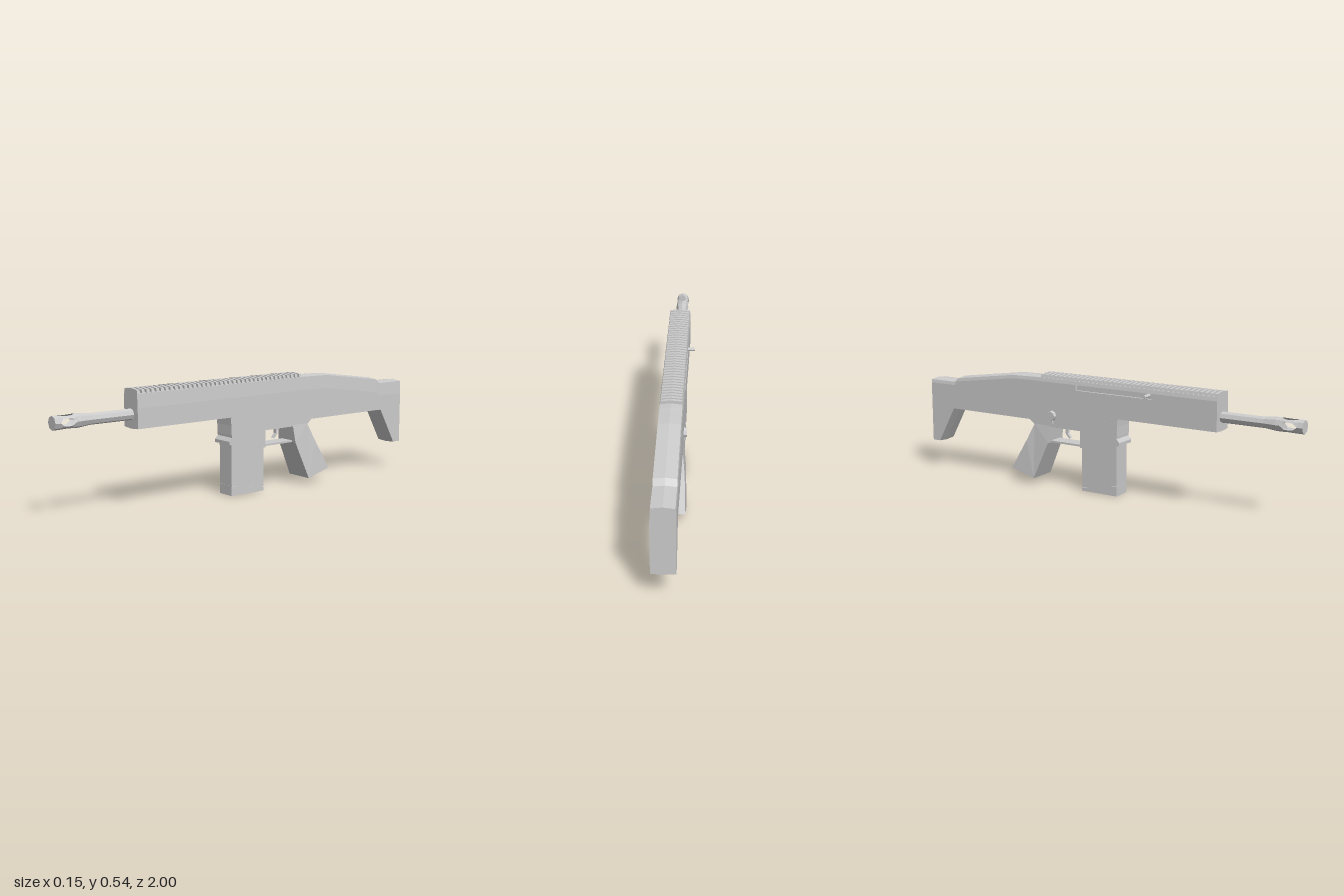
import * as THREE from 'three';

const mat = new THREE.MeshStandardMaterial({ color: 0xcccccc, flatShading: true, side: THREE.DoubleSide });

function add(parent, name, geo) {
  const m = new THREE.Mesh(geo, mat);
  m.name = name;
  parent.add(m);
  return m;
}

// Skin closed counter-clockwise sections, listed from front (+z) to back
function loft(rings) {
  const pos = [], n = rings[0].length;
  const tri = (...p) => p.forEach(v => pos.push(...v));
  for (let i = 0; i < rings.length - 1; i++)
    for (let j = 0; j < n; j++) {
      const k = (j + 1) % n;
      const a = rings[i][j], b = rings[i][k], c = rings[i + 1][k], d = rings[i + 1][j];
      tri(a, d, c);
      tri(a, c, b);
    }
  const front = rings[0], back = rings[rings.length - 1];
  for (let j = 1; j < n - 1; j++) {
    tri(front[0], front[j], front[j + 1]);
    tri(back[0], back[j + 1], back[j]);
  }
  const g = new THREE.BufferGeometry();
  g.setAttribute('position', new THREE.Float32BufferAttribute(pos, 3));
  g.computeVertexNormals();
  return g;
}

// Side profile in (z, y) given a half width that may vary with height
function prism(profile, halfWidth) {
  const shape = new THREE.Shape(profile.map(p => new THREE.Vector2(...p)));
  const g = new THREE.ExtrudeGeometry(shape, { depth: 2, bevelEnabled: false });
  g.translate(0, 0, -1).rotateY(-Math.PI / 2);
  const p = g.attributes.position;
  for (let i = 0; i < p.count; i++) {
    const w = typeof halfWidth === 'function' ? halfWidth(p.getY(i)) : halfWidth;
    p.setX(i, p.getX(i) * w);
  }
  g.computeVertexNormals();
  return g;
}

// Body section with a shallow crown and an optional slot cut in the -x side
function bodySection([z, top, bottom, slot = 0]) {
  const w = 0.0525, hi = Math.min(0.505, top - 0.022), lo = hi - 0.026;
  return [
    [0, bottom - 0.002], [w, bottom + 0.002], [w, top - 0.07], [0.049, top - 0.006],
    [0, top], [-0.049, top - 0.006], [-w, hi], [-w + slot, hi],
    [-w + slot, lo], [-w, lo], [-w, bottom + 0.002],
  ].map(([x, y]) => [x, y, z]);
}

// Muzzle: four struts that narrow midway, leaving lens-shaped windows
function muzzleGeometry(r) {
  const rows = [[1, 45], [0.975, 45], [0.955, 17], [0.935, 12], [0.915, 17], [0.895, 45], [0.875, 45]];
  const pos = [], index = [];
  for (let s = 0; s < 4; s++) {
    const base = pos.length / 3;
    for (const [z, h] of rows)
      for (const k of [-1, 0, 1]) {
        const a = (45 + 90 * s + k * h) * Math.PI / 180;
        pos.push(r * Math.cos(a), r * Math.sin(a), z);
      }
    for (let i = 0; i < rows.length - 1; i++)
      for (let k = 0; k < 2; k++) {
        const a = base + i * 3 + k;
        index.push(a, a + 3, a + 4, a, a + 4, a + 1);
      }
  }
  const g = new THREE.BufferGeometry();
  g.setAttribute('position', new THREE.Float32BufferAttribute(pos, 3));
  g.setIndex(index);
  g.computeVertexNormals();
  return g;
}

export function createModel() {
  const root = new THREE.Group();
  root.name = 'rifle';
  const g = new THREE.Group();
  g.name = 'assembly';
  g.position.x = 0.007;
  root.add(g);

  // Receiver and stock: z, top, bottom, slot depth
  add(g, 'receiverAndStock', loft([
    [0.615, 0.528, 0.367], [0.29, 0.528, 0.367], [0.29, 0.528, 0.367, 0.012],
    [0.108, 0.528, 0.367, 0.012], [0.108, 0.528, 0.287, 0.012],
    [-0.12, 0.528, 0.287, 0.012], [-0.12, 0.528, 0.287],
    [-0.355, 0.528, 0.287], [-0.385, 0.527, 0.312], [-0.485, 0.525, 0.312],
    [-0.825, 0.477, 0.312], [-0.85, 0.456, 0.312], [-0.86, 0.456, 0.31],
    [-0.957, 0.456, 0.135], [-1, 0.456, 0.135],
  ].map(bodySection)));

  // Top rail
  const rail = new THREE.Group();
  rail.name = 'topRail';
  g.add(rail);
  const tooth = new THREE.Shape([
    [-0.051, 0.521], [0.051, 0.521], [0.047, 0.537], [0, 0.542], [-0.047, 0.537],
  ].map(p => new THREE.Vector2(...p)));
  const count = 38, pitch = 0.945 / count;
  const toothGeo = new THREE.ExtrudeGeometry(tooth, { depth: pitch * 0.6, bevelEnabled: false });
  for (let i = 0; i < count; i++)
    add(rail, 'railTooth', toothGeo).position.z = 0.615 - pitch * (i + 0.6);

  // Barrel and muzzle
  const barrel = new THREE.Group();
  barrel.name = 'barrel';
  barrel.position.y = 0.428;
  g.add(barrel);
  const tube = (name, r0, r1, z0, z1) => add(barrel, name,
    new THREE.CylinderGeometry(r1, r0, z1 - z0, 8, 1, true).rotateX(Math.PI / 2).translate(0, 0, (z0 + z1) / 2));
  tube('barrelTube', 0.025, 0.025, 0.6, 0.82);
  tube('barrelFlare', 0.025, 0.031, 0.82, 0.875);
  add(barrel, 'muzzle', muzzleGeometry(0.031));
  add(barrel, 'muzzleCap', new THREE.CircleGeometry(0.031, 8)).position.z = 1;

  // Magazine well with a flared lip
  add(g, 'magazineWell', prism([
    [0.11, 0.368], [0.105, 0.275], [0.12, 0.258], [0.12, 0.243],
    [-0.095, 0.207], [-0.095, 0.29], [-0.05, 0.368],
  ], 0.0527));

  // Magazine and floor plate
  add(g, 'magazine', prism([[0.1, 0.25], [0.1, 0.052], [-0.09, 0.021], [-0.09, 0.22]], 0.0445));
  add(g, 'magazineSeam', prism([[0.097, 0.06], [0.097, 0.04], [-0.087, 0.01], [-0.087, 0.03]], 0.042));
  add(g, 'magazineFloorPlate', prism([[0.1, 0.047], [0.1, 0], [-0.09, 0], [-0.09, 0.016]], 0.0445));

  // Grip, widening towards its foot
  add(g, 'grip', prism([
    [-0.265, 0.295], [-0.275, 0.21], [-0.355, 0.028], [-0.485, 0.064], [-0.4, 0.21], [-0.357, 0.295],
  ], y => (y > 0.21 ? 0.0525 + (0.295 - y) * 0.11 : 0.062 + (0.21 - y) * 0.045)));

  // Trigger guard and trigger
  add(g, 'triggerGuard', prism([
    [-0.09, 0.29], [-0.09, 0.21], [-0.28, 0.21], [-0.28, 0.219], [-0.108, 0.219], [-0.108, 0.29],
  ], 0.036));
  add(g, 'trigger', prism([
    [-0.197, 0.29], [-0.197, 0.258], [-0.18, 0.236], [-0.188, 0.234], [-0.208, 0.255], [-0.21, 0.29],
  ], 0.008));

  // Charging handle and selector on the -x side
  add(g, 'chargingHandle', new THREE.CylinderGeometry(0.008, 0.01, 0.046, 8)
    .rotateZ(Math.PI / 2).translate(-0.061, 0.493, 0.268));
  add(g, 'selectorDisc', new THREE.CylinderGeometry(0.021, 0.025, 0.014, 8)
    .rotateZ(Math.PI / 2).translate(-0.059, 0.345, -0.255));
  add(g, 'selectorLever', new THREE.BoxGeometry(0.009, 0.045, 0.014).translate(-0.057, 0.33, -0.255));

  return root;
}
